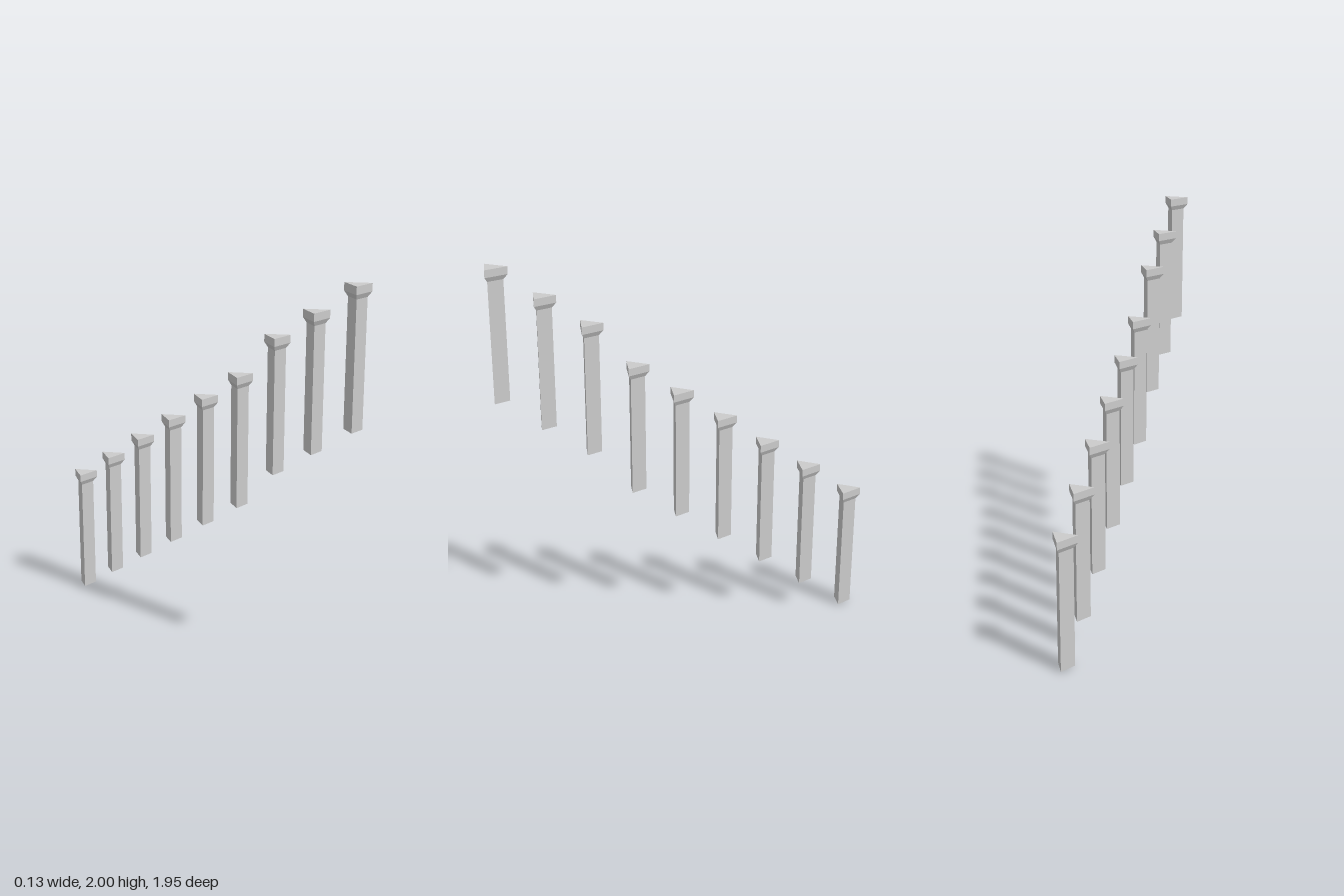
import * as THREE from 'three';

const material = new THREE.MeshStandardMaterial({ color: 0xcccccc, flatShading: true });

const HEIGHT = 0.698;      // full height of one post
const SHAFT_R = 0.052;     // corner radius of the triangular shaft
const CAP_R = 0.075;       // corner radius of the triangular cap
const CAP_H = 0.039;
const FLARE_H = 0.024;
const SHAFT_H = HEIGHT - CAP_H - FLARE_H;

// Three-sided prism standing on y, one corner pointing to -z
function prism(name, rTop, rBottom, height, y, open = false) {
  const geometry = new THREE.CylinderGeometry(rTop, rBottom, height, 3, 1, open, Math.PI)
    .translate(0, y + height / 2, 0)
    .toNonIndexed();
  geometry.computeVertexNormals();
  const mesh = new THREE.Mesh(geometry, material);
  mesh.name = name;
  return mesh;
}

function createPost() {
  const post = new THREE.Group();
  post.add(
    prism('shaft', SHAFT_R, SHAFT_R, SHAFT_H, 0),
    prism('flare', CAP_R, SHAFT_R, FLARE_H, SHAFT_H, true),
    prism('cap', CAP_R, CAP_R, CAP_H, SHAFT_H + FLARE_H)
  );
  return post;
}

export function createModel() {
  const model = new THREE.Group();
  model.name = 'steppedPosts';

  // Rise of each post in equal units, from the back (lowest) to the front
  const unit = (2 - HEIGHT) / 17;
  const rises = [0, 2, 4, 6, 8, 10, 13, 15, 17];
  rises.forEach((rise, i) => {
    const post = createPost();
    post.name = `post${i + 1}`;
    post.position.set(0, rise * unit, -0.902 + i * 0.2302);
    model.add(post);
  });
  return model;
}
